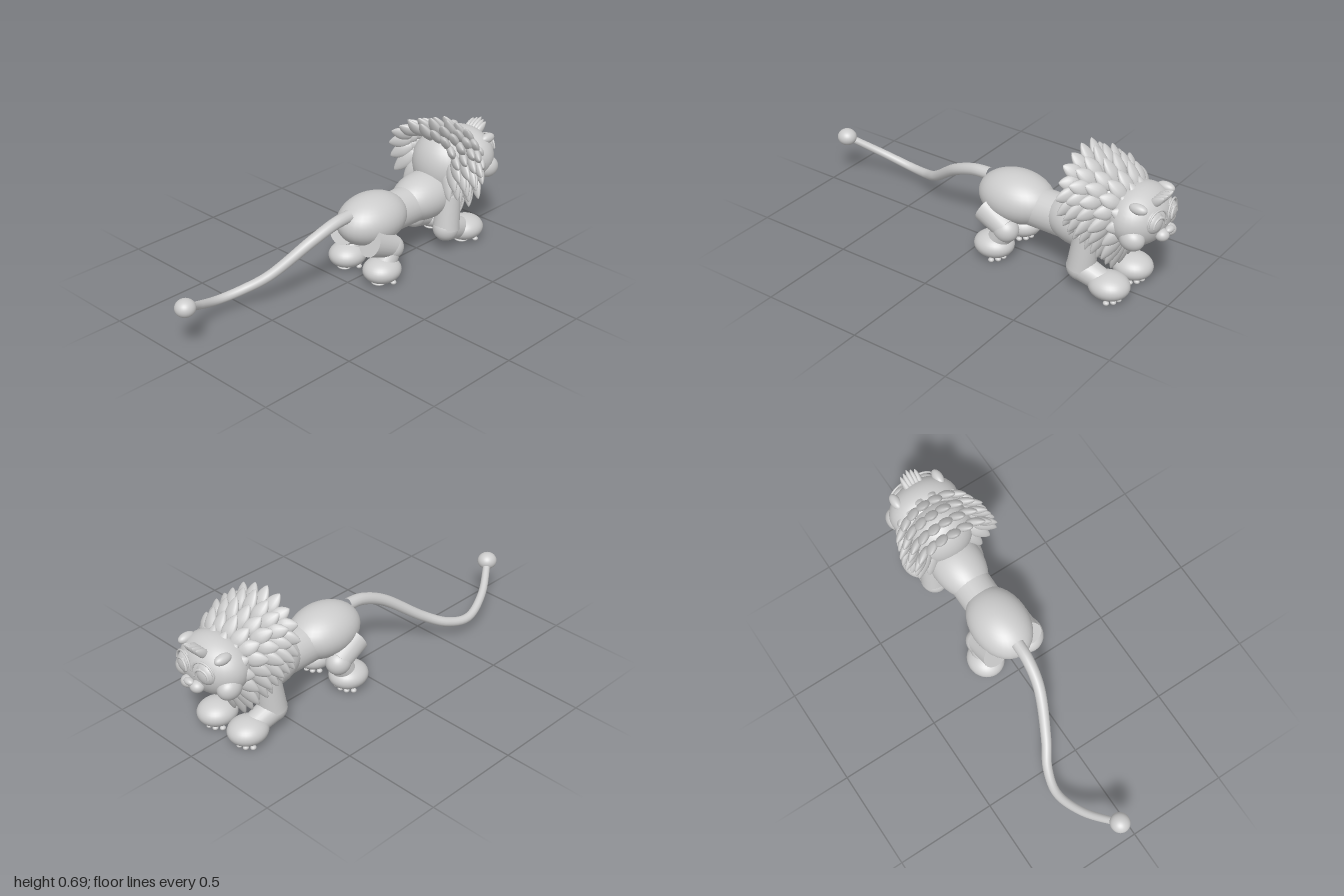
import * as THREE from 'three';

const V = (x, y, z) => new THREE.Vector3(x, y, z);

export function createModel() {
  const grey = new THREE.MeshStandardMaterial({ color: 0xcccccc });
  grey.name = 'plain grey';
  const lion = new THREE.Group();
  lion.name = 'lion';

  const ball = new THREE.SphereGeometry(1, 32, 20);
  const smallBall = new THREE.SphereGeometry(1, 14, 10);

  const add = (name, geometry, parent = lion) => {
    const m = new THREE.Mesh(geometry, grey);
    m.name = name;
    parent.add(m);
    return m;
  };
  const blob = (name, pos, size, parent = lion, geo = ball) => {
    const m = add(name, geo, parent);
    m.position.set(...pos);
    m.scale.set(...size);
    return m;
  };
  // Tapered cylinder between two points
  const limb = (name, a, b, ra, rb, parent = lion) => {
    const d = b.clone().sub(a);
    const m = add(name, new THREE.CylinderGeometry(rb, ra, d.length(), 24), parent);
    m.position.copy(a).addScaledVector(d, 0.5);
    m.quaternion.setFromUnitVectors(V(0, 1, 0), d.normalize());
    return m;
  };

  // Pointed petal of unit length, used for all locks of hair
  const lockShape = new THREE.LatheGeometry(
    new THREE.SplineCurve([
      [0, 0], [0.55, 0.08], [0.9, 0.28], [1, 0.48], [0.78, 0.72], [0.35, 0.92], [0, 1],
    ].map(p => new THREE.Vector2(...p))).getPoints(14).map(p => new THREE.Vector2(Math.max(p.x, 0), p.y)), 14);
  const lock = (name, base, tip, tangent, width, thick, parent) => {
    const y = tip.clone().sub(base);
    const length = y.length();
    y.normalize();
    const z = tangent.clone().cross(y).normalize();
    const x = y.clone().cross(z);
    const m = add(name, lockShape, parent);
    m.position.copy(base);
    m.quaternion.setFromRotationMatrix(new THREE.Matrix4().makeBasis(x, y, z));
    m.scale.set(width, length, thick);
  };

  // Body
  blob('hindBody', [0.168, 0.295, 0], [0.198, 0.126, 0.146]);
  blob('foreBody', [0.55, 0.29, 0], [0.205, 0.122, 0.132]);
  limb('waist', V(0.25, 0.275, 0), V(0.48, 0.275, 0), 0.098, 0.1);
  blob('chest', [0.64, 0.28, 0], [0.12, 0.125, 0.12]);
  blob('neck', [0.68, 0.42, 0], [0.14, 0.17, 0.165]);

  // Tail: a tapering tube with a ball at its end
  const path = new THREE.CatmullRomCurve3([
    V(0.01, 0.36, 0), V(-0.08, 0.352, -0.003), V(-0.21, 0.3, -0.025), V(-0.41, 0.155, -0.115),
    V(-0.52, 0.1, -0.18), V(-0.64, 0.085, -0.21), V(-0.79, 0.135, -0.17), V(-0.95, 0.23, -0.07),
  ]);
  const rings = 48, sides = 14;
  const tail = new THREE.TubeGeometry(path, rings, 1, sides);
  const pos = tail.attributes.position;
  for (let i = 0; i <= rings; i++) {
    const c = path.getPointAt(i / rings), r = 0.031 - 0.013 * (i / rings);
    for (let j = 0; j <= sides; j++) {
      const k = i * (sides + 1) + j;
      const p = V(0, 0, 0).fromBufferAttribute(pos, k).sub(c).multiplyScalar(r).add(c);
      pos.setXYZ(k, p.x, p.y, p.z);
    }
  }
  add('tail', tail);
  blob('tailBall', [-0.95, 0.23, -0.068], [0.05, 0.043, 0.048]);

  // Foot with a heel pad and toe pads underneath
  const foot = (name, x, z) => {
    const g = new THREE.Group();
    g.name = name;
    g.position.set(x, 0, z);
    lion.add(g);
    blob('paw', [0, 0.073, 0], [0.1, 0.063, 0.092], g);
    blob('heelPad', [-0.025, 0.013, 0], [0.035, 0.011, 0.038], g, smallBall);
    for (let i = 0; i < 5; i++) {
      const a = (i - 2) * 0.5;
      blob('toePad', [-0.015 + 0.068 * Math.cos(a), 0.014, 0.068 * Math.sin(a)],
        [0.015, 0.011, 0.014], g, smallBall);
    }
  };

  for (const s of [1, -1]) {
    const side = s > 0 ? 'Right' : 'Left';
    // Hind leg
    limb('thigh' + side, V(0.06, 0.235, s * 0.09), V(0.19, 0.175, s * 0.112), 0.075, 0.06);
    blob('hock' + side, [0.185, 0.17, s * 0.115], [0.064, 0.062, 0.06]);
    limb('hindShin' + side, V(0.185, 0.17, s * 0.115), V(0.13, 0.08, s * 0.115), 0.052, 0.058);
    foot('hindFoot' + side, 0.12, s * 0.116);
    // Front leg
    limb('foreleg' + side, V(0.62, 0.3, s * 0.1), V(0.6, 0.12, s * 0.108), 0.06, 0.068);
    blob('ankle' + side, [0.6, 0.122, s * 0.108], [0.07, 0.068, 0.066]);
    limb('foreShin' + side, V(0.6, 0.12, s * 0.108), V(0.72, 0.08, s * 0.104), 0.064, 0.055);
    foot('frontFoot' + side, 0.75, s * 0.104);
  }

  // Mane: rows of locks from the face backwards
  const mane = new THREE.Group();
  mane.name = 'mane';
  lion.add(mane);
  const rows = [ // top tip x,y; bottom tip x,y; half width; count
    [0.79, 0.59, 0.735, 0.13, 0.205, 17],
    [0.73, 0.645, 0.68, 0.17, 0.232, 18],
    [0.655, 0.67, 0.64, 0.195, 0.248, 19],
    [0.58, 0.688, 0.6, 0.22, 0.248, 19],
    [0.51, 0.685, 0.565, 0.25, 0.235, 18],
  ];
  rows.forEach(([tx, ty, bx, by, rz, n], row) => {
    for (let i = 0; i < n; i++) {
      const a = ((i + (row % 2 ? 0.5 : 0)) / n) * Math.PI * 2 + Math.PI;
      const up = Math.cos(a), t = (1 - up) / 2;
      const cy = (ty + by) / 2, ry = (ty - by) / 2;
      const wob = 1 + 0.03 * Math.sin(i * 2.4 + row * 1.7);
      const tip = V(tx + (bx - tx) * t, cy + ry * up * wob, rz * Math.sin(a) * wob);
      const k = 0.5 - 0.12 * t;
      // Side locks droop, so their bases sit a little higher than their tips
      const base = V(tip.x + 0.075 - 0.03 * t, cy + ry * up * k + 0.035 * Math.abs(Math.sin(a)) + 0.03 * t,
        rz * Math.sin(a) * (k + 0.14));
      lock('maneLock', base, tip, V(0, -ry * Math.sin(a), rz * up), 0.037, 0.02, mane);
    }
  });

  // Head
  const head = new THREE.Group();
  head.name = 'head';
  lion.add(head);
  blob('skull', [0.83, 0.435, 0], [0.135, 0.141, 0.182], head);
  blob('chin', [0.955, 0.365, 0], [0.022, 0.017, 0.024], head);
  blob('nose', [0.981, 0.403, 0], [0.019, 0.016, 0.028], head);
  for (const s of [1, -1]) {
    const cheek = blob('cheek', [0.872, 0.38, s * 0.138], [0.06, 0.055, 0.05], head);
    cheek.rotation.x = s * 0.3;
    blob('ear', [0.885, 0.528, s * 0.12], [0.045, 0.025, 0.025], head);
    blob('muzzle', [0.962, 0.382, s * 0.03], [0.033, 0.029, 0.034], head);
    blob('eye', [0.93, 0.452, s * 0.062], [0.04, 0.055, 0.056], head);
    blob('pupil', [0.957, 0.432, s * 0.086], [0.006, 0.005, 0.005], head, smallBall);
    // Arched brow and smiling eyelid
    for (const [name, r, tube, x, y] of [['brow', 0.059, 0.005, 0.954, 0.456], ['eyelid', 0.038, 0.006, 0.964, 0.444]]) {
      const arc = add(name, new THREE.TorusGeometry(r, tube, 10, 30, Math.PI), head);
      arc.position.set(x, y, s * 0.064);
      arc.rotation.set(0, Math.PI / 2 - s * 0.2, 0);
      for (const e of [1, -1]) {
        blob(name + 'End', [x - e * s * r * 0.2, y, s * 0.064 + e * r * 0.98], [tube, tube, tube], head, smallBall);
      }
    }
    blob('lash', [0.962, 0.484, s * 0.057], [0.007, 0.005, 0.009], head, smallBall);
  }
  // Forelock
  for (let i = -2; i <= 2; i++) {
    const z = i * 0.016, d = Math.abs(i) * 0.006;
    lock('forelock', V(0.885, 0.508, z), V(0.978 - d, 0.582 - d, z * 1.25), V(0, 0, 1), 0.016, 0.022, head);
  }

  return lion;
}
